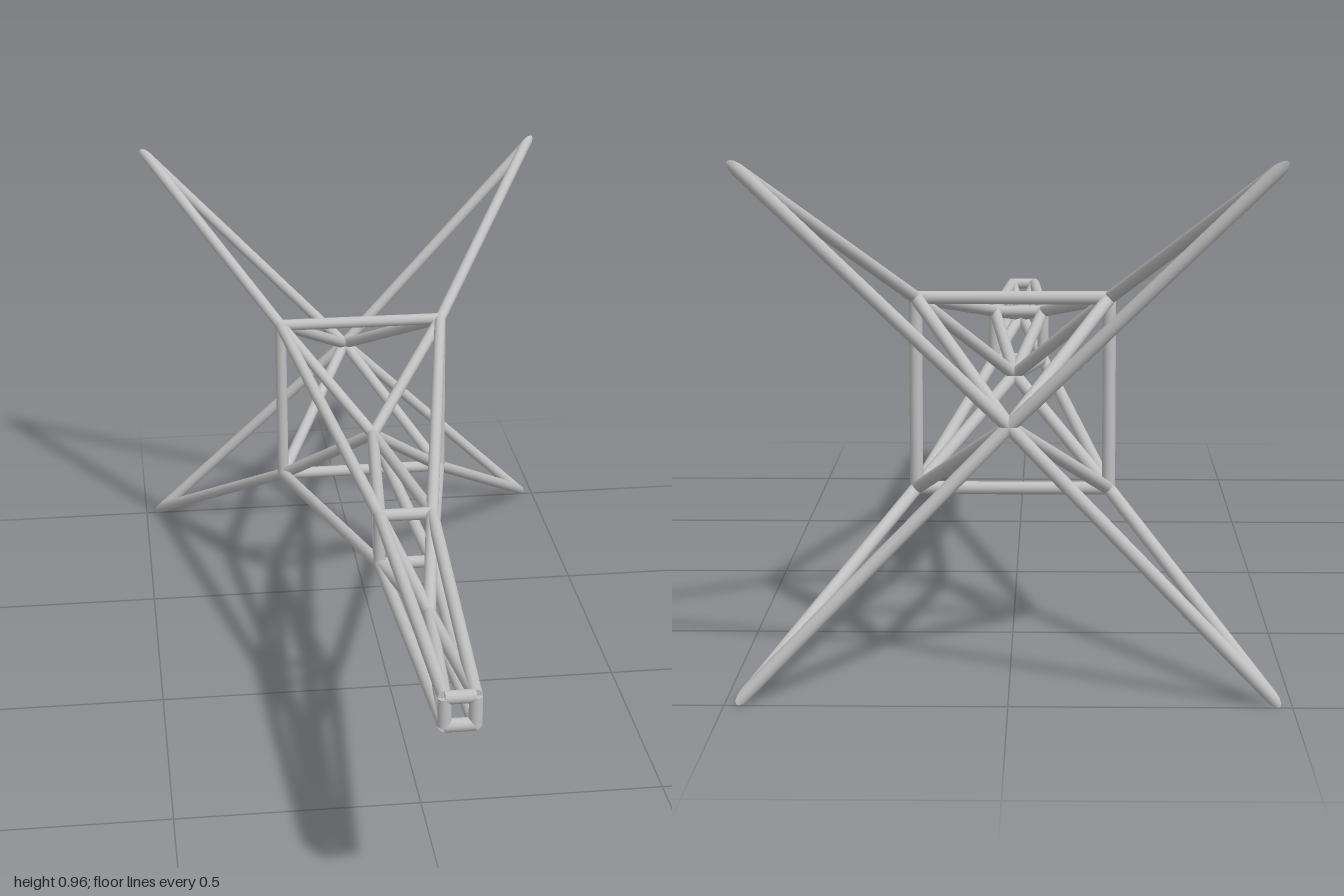
import * as THREE from 'three';

const RADIUS = 0.0127;
const SIDES = 16;
const CENTRE_Y = 0.478;

export function createModel() {
  const model = new THREE.Group();
  model.name = 'strutFrame';
  const steel = new THREE.MeshStandardMaterial({ color: 0xc0c0c0 });
  steel.name = 'light grey steel';

  // One round bar from a to b; with a partner joint, end b is mitred against the bar partner-b
  function strut(name, a, b, partner) {
    const dir = b.clone().sub(a);
    const length = dir.length();
    dir.normalize();
    const geometry = new THREE.CylinderGeometry(RADIUS, RADIUS, length, SIDES);
    const turn = new THREE.Quaternion().setFromUnitVectors(new THREE.Vector3(0, 1, 0), dir);
    if (partner) {
      // Slide the end ring along the bar onto the plane halving the two bars
      const normal = dir.clone().sub(b.clone().sub(partner).normalize());
      normal.applyQuaternion(turn.clone().invert());
      const p = geometry.attributes.position;
      for (let i = 0; i < p.count; i++) {
        if (p.getY(i) > 0) {
          p.setY(i, length / 2 - (p.getX(i) * normal.x + p.getZ(i) * normal.z) / normal.y);
        }
      }
    }
    const bar = new THREE.Mesh(geometry, steel);
    bar.name = name;
    bar.position.copy(a).add(b).multiplyScalar(0.5);
    bar.quaternion.copy(turn);
    model.add(bar);
  }

  // Four corner joints of a square, and joints on the long axis
  const square = (half, z) => [[1, 1], [-1, 1], [-1, -1], [1, -1]]
    .map(([x, y]) => new THREE.Vector3(x * half, CENTRE_Y + y * half, z));
  const axis = (z) => new THREE.Vector3(0, CENTRE_Y, z);

  const nose = square(0.028, 0.987);
  const neck = square(0.054, 0.26);
  const body = square(0.185, -0.53);
  const finTips = square(0.456, -0.983);
  const noseHub = axis(0.6);
  const bodyHub = axis(-0.3);
  const tailHub = axis(-0.89);

  for (let i = 0; i < 4; i++) {
    const next = (i + 1) % 4;
    // Square rings
    strut('noseRing', nose[i], nose[next]);
    strut('neckRing', neck[i], neck[next]);
    strut('bodyRing', body[i], body[next]);
    // Long outer rails
    strut('noseRail', nose[i], neck[i]);
    strut('bodyRail', neck[i], body[i]);
    // Inner braces meeting on the axis
    strut('noseBrace', nose[i], noseHub);
    strut('neckFrontBrace', neck[i], noseHub);
    strut('neckRearBrace', neck[i], bodyHub);
    strut('bodyFrontBrace', body[i], bodyHub);
    strut('bodyRearBrace', body[i], tailHub);
    // Swept tail fins with pointed tips
    strut('finLeadingEdge', body[i], finTips[i], tailHub);
    strut('finTrailingEdge', tailHub, finTips[i], body[i]);
  }
  return model;
}
